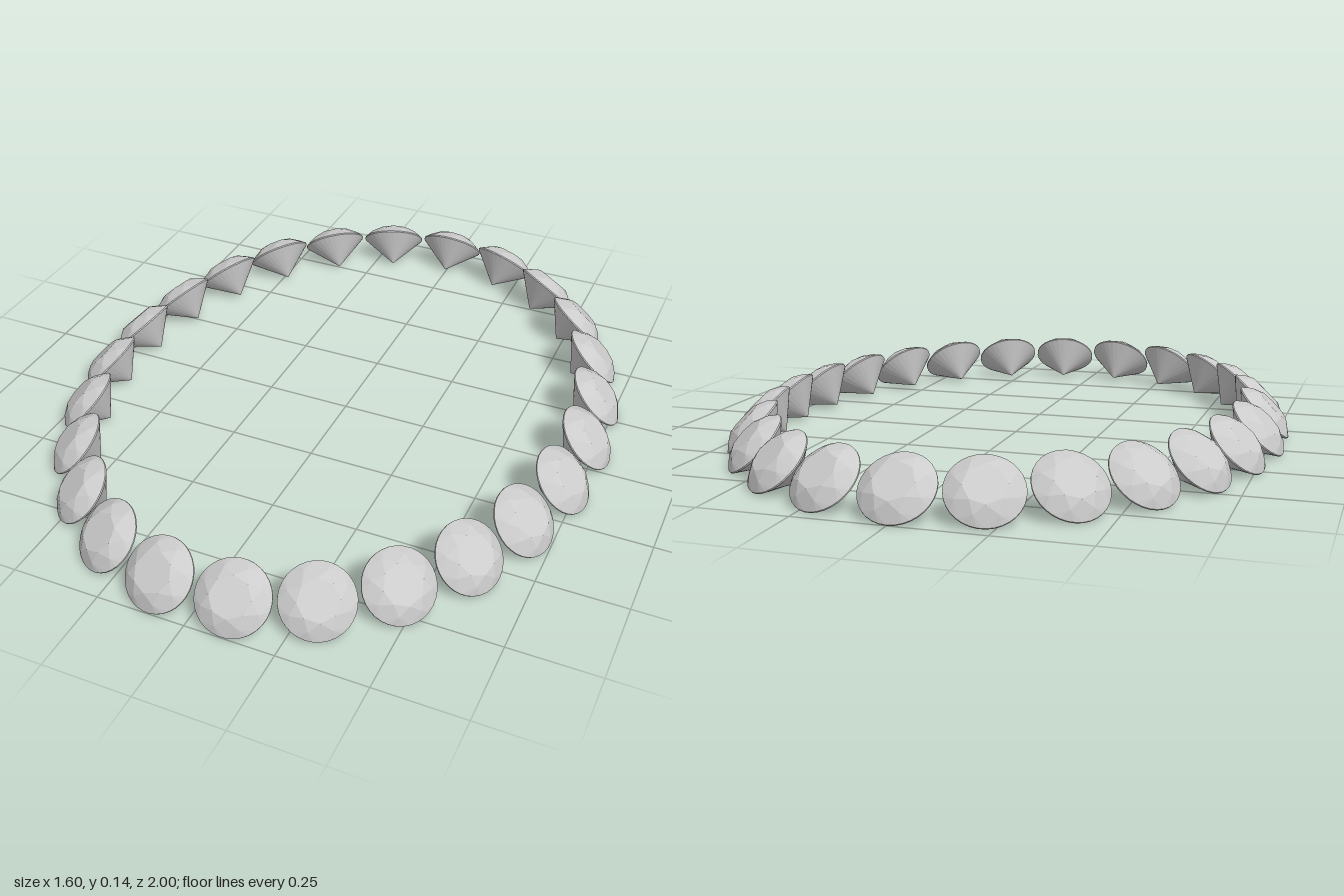
import * as THREE from 'three';

const R = 0.1;        // girdle radius of each gem
const COUNT = 25;     // gems around the oval
const SIDES = 32;     // girdle segments

// Faceted round brilliant cut, axis along +y, girdle at y = 0
function gemGeometry() {
  const pos = [];
  const ring = (r, y, deg) => {
    const a = THREE.MathUtils.degToRad(deg);
    return [r * Math.sin(a), y, r * Math.cos(a)];
  };
  const tri = (...pts) => pts.forEach(p => pos.push(...p));
  const table = k => ring(0.055, 0.034, k * 45);
  const mid = k => ring(0.08, 0.0205, (k + 0.5) * 45);
  const upper = i => ring(R, 0.002, i * 360 / SIDES);
  const lower = i => ring(R, -0.002, i * 360 / SIDES);
  const top = [0, 0.034, 0], culet = [0, -0.088, 0];

  for (let k = 0; k < 8; k++) {
    tri(top, table(k), table(k + 1));             // flat table
    tri(table(k), mid(k), table(k + 1));          // star facet
    tri(table(k), mid(k - 1), upper(k * 4));      // kite facet
    tri(table(k), upper(k * 4), mid(k));
    for (let i = k * 4; i < k * 4 + 4; i++) {
      tri(mid(k), upper(i), upper(i + 1));        // upper girdle facets
      tri(upper(i), lower(i), lower(i + 1));      // thin girdle band
      tri(upper(i), lower(i + 1), upper(i + 1));
      tri(culet, lower(i + 1), lower(i));         // pavilion
    }
  }
  const g = new THREE.BufferGeometry();
  g.setAttribute('position', new THREE.Float32BufferAttribute(pos, 3));
  g.computeVertexNormals();
  return g;
}

export function createModel() {
  const model = new THREE.Group();
  model.name = 'gemRing';
  const material = new THREE.MeshStandardMaterial({ color: 0xcccccc, flatShading: true });
  const geometry = gemGeometry();

  // Gems sit at equal arc lengths on an oval, starting at the back
  const a = 0.729, b = 0.934, offsetZ = 0.004;
  const oval = new THREE.EllipseCurve(0, 0, a, b, -Math.PI / 2, Math.PI * 1.5);
  oval.arcLengthDivisions = 2000;

  for (let i = 0; i < COUNT; i++) {
    const p = oval.getPointAt(i / COUNT);
    const out = new THREE.Vector3(p.x / (a * a), 0, p.y / (b * b)).normalize();
    // Each gem faces outward and up at 45 degrees
    const axis = out.clone().add(new THREE.Vector3(0, 1, 0)).normalize();
    const side = new THREE.Vector3().crossVectors(new THREE.Vector3(0, 1, 0), out);
    const gem = new THREE.Mesh(geometry, material);
    gem.name = `gem${i + 1}`;
    gem.quaternion.setFromRotationMatrix(
      new THREE.Matrix4().makeBasis(side, axis, new THREE.Vector3().crossVectors(side, axis)));
    gem.position.set(p.x, 0.072, p.y + offsetZ);
    model.add(gem);
  }
  return model;
}
